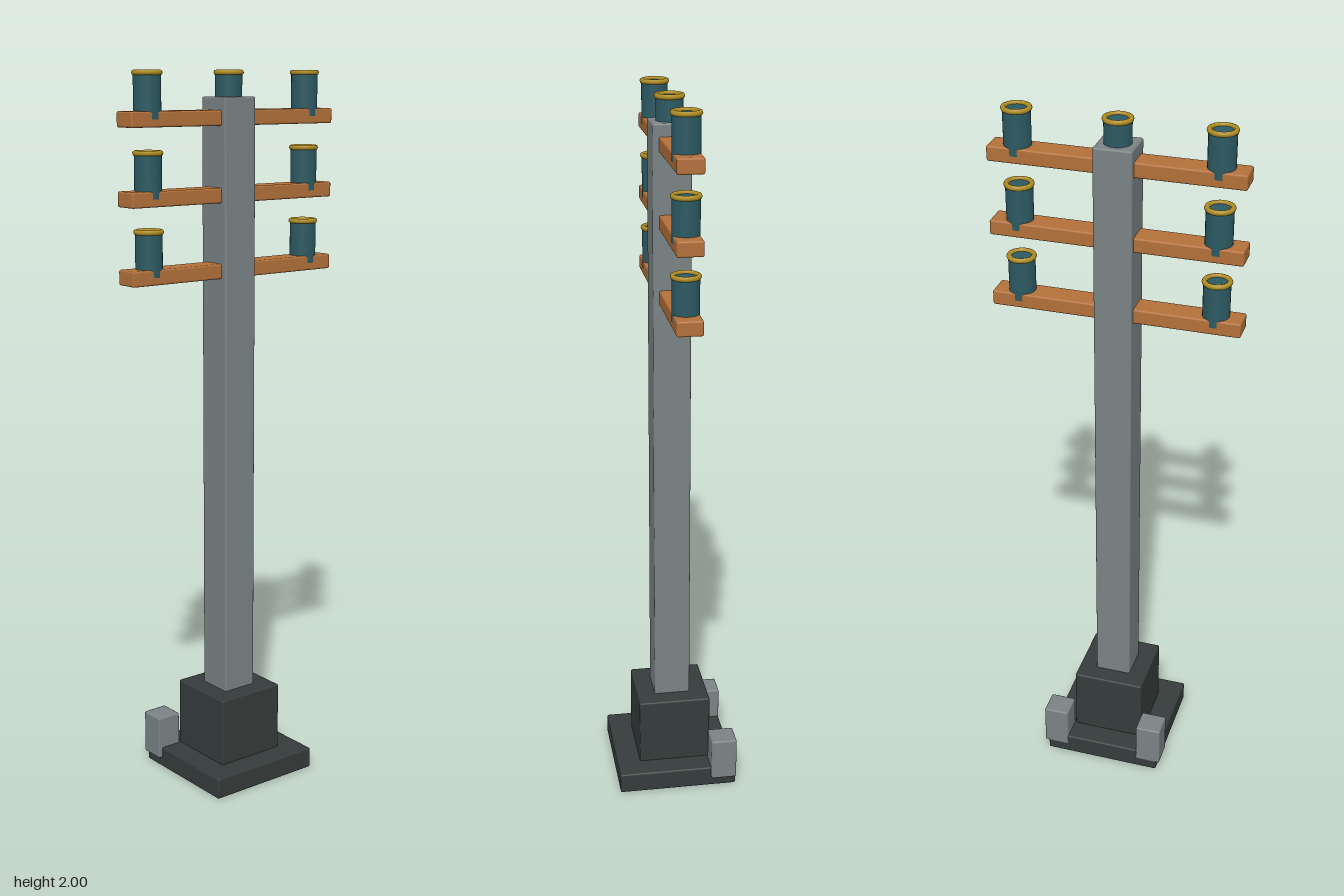
import * as THREE from 'three';
import { RoundedBoxGeometry } from 'three/addons/geometries/RoundedBoxGeometry.js';

const paint = (name, color) => {
  const m = new THREE.MeshStandardMaterial({ color });
  m.name = name;
  return m;
};

export function createModel() {
  const steel = paint('grey steel', 0x7a8384);
  const stone = paint('dark stone', 0x353c3b);
  const wood = paint('orange wood', 0xb3713a);
  const glass = paint('teal glass', 0x2c5a62);
  const brass = paint('brass', 0xb08d22);

  const model = new THREE.Group();
  model.name = 'utilityPole';

  // Softly bevelled box given by its half sizes, bottom and top
  const block = (name, material, halfX, halfZ, y0, y1, x = 0, z = 0) => {
    const geometry = new RoundedBoxGeometry(halfX * 2, y1 - y0, halfZ * 2, 2, 0.005);
    const mesh = new THREE.Mesh(geometry, material);
    mesh.name = name;
    mesh.position.set(x, (y0 + y1) / 2, z);
    model.add(mesh);
  };

  // Insulator: glass cylinder with a brass ring around its top rim
  const height = 0.117;
  const bodyGeometry = new THREE.CylinderGeometry(0.0365, 0.0365, height, 24);
  const ringGeometry = new THREE.TorusGeometry(0.0335, 0.0072, 8, 28).rotateX(Math.PI / 2);
  const insulator = (x, top) => {
    const group = new THREE.Group();
    group.name = 'insulator';
    const body = new THREE.Mesh(bodyGeometry, glass);
    body.name = 'insulatorBody';
    body.position.y = -0.0075 - height / 2;
    const ring = new THREE.Mesh(ringGeometry, brass);
    ring.name = 'insulatorRing';
    ring.position.y = -0.0072;
    group.add(body, ring);
    group.position.set(x, top, 0);
    model.add(group);
  };

  // Stepped footing and pole
  block('baseSlab', stone, 0.171, 0.171, 0, 0.06);
  block('basePlinth', stone, 0.104, 0.104, 0.05, 0.255);
  block('pole', steel, 0.052, 0.052, 0.2, 1.93);

  // Boxes on the two rear corners of the slab
  for (const side of [-1, 1]) {
    block('cornerBox', steel, 0.037, 0.037, 0.028, 0.153, side * 0.145, -0.135);
  }

  // Three crossarms, each with a pair of insulators
  for (let i = 0; i < 3; i++) {
    const y = 1.855 - i * 0.204;
    block('crossarm', wood, 0.341, 0.035, y, y + 0.041);
    for (const side of [-1, 1]) insulator(side * 0.267, y + 0.145);
  }

  // Insulator on the pole top
  insulator(0, 2);

  return model;
}
